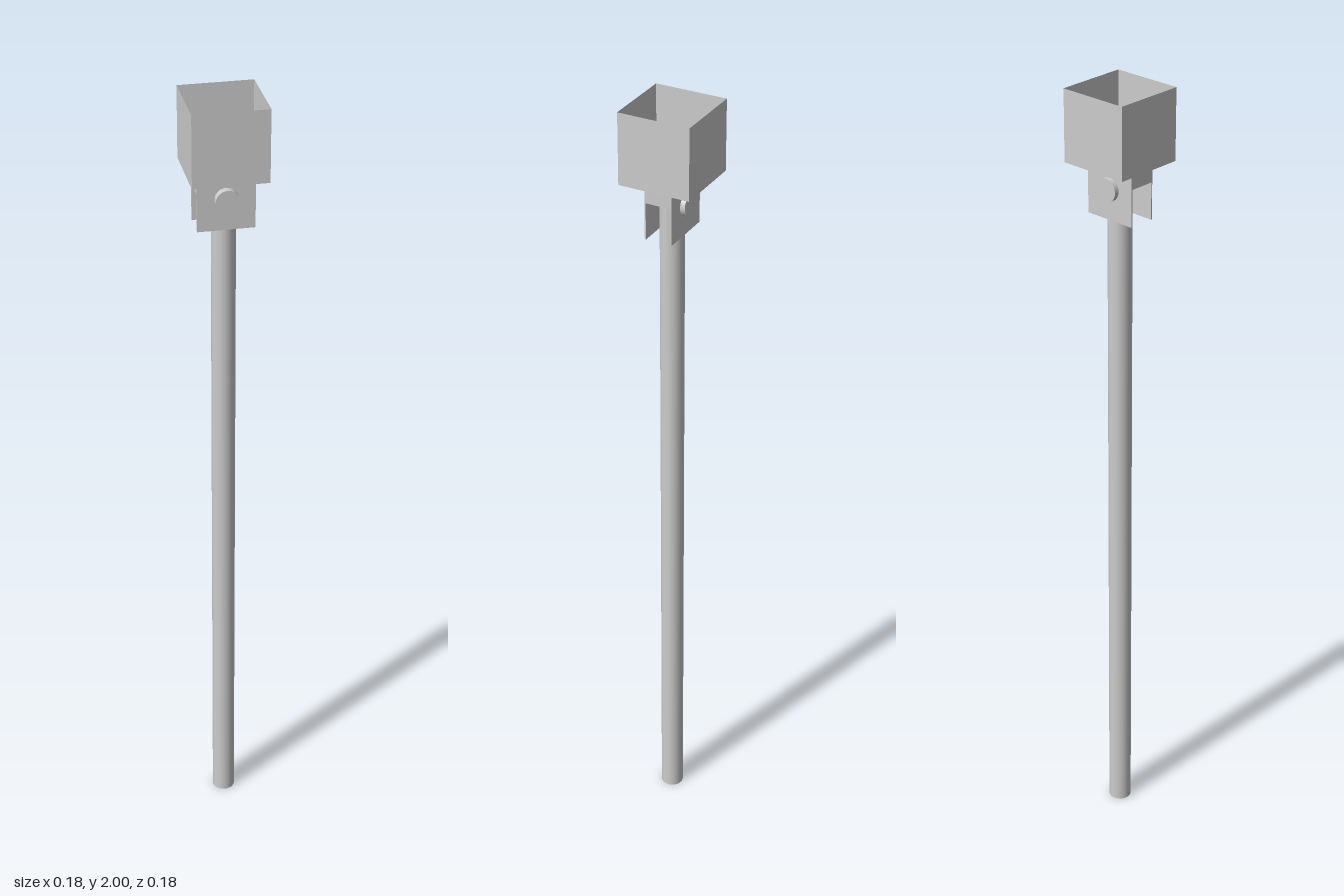
import * as THREE from 'three';

export function createModel() {
  const root = new THREE.Group();
  const grey = new THREE.MeshStandardMaterial({ color: 0xcccccc, side: THREE.DoubleSide });
  const add = (name, geometry, x, y, z) => {
    const mesh = new THREE.Mesh(geometry, grey);
    mesh.name = name;
    mesh.position.set(x, y, z);
    root.add(mesh);
    return mesh;
  };

  // Round pole
  const poleTop = 1.785;
  add('pole', new THREE.CylinderGeometry(0.029, 0.029, poleTop, 24), 0, poleTop / 2, 0);

  // Thin sheet box with an open top: leave out the six indices of the upper face
  const boxHeight = 0.174, boxFloor = 2 - boxHeight;
  const box = new THREE.BoxGeometry(0.178, boxHeight, 0.178);
  const index = Array.from(box.index.array);
  index.splice(12, 6);
  box.setIndex(index);
  box.clearGroups();
  add('openBox', box, 0, boxFloor + boxHeight / 2, 0);

  // Bracket: a block under the box with a cheek plate on each side of the pole
  add('bracketBlock', new THREE.BoxGeometry(0.136, boxFloor - poleTop, 0.066), 0, (boxFloor + poleTop) / 2, 0);
  const plateHeight = 0.132;
  for (const side of [1, -1]) {
    const label = side > 0 ? 'front' : 'back';
    add(label + 'Plate', new THREE.BoxGeometry(0.136, plateHeight, 0.003), 0, boxFloor - plateHeight / 2, side * 0.033);

    // Bolt head at the front, nut at the back
    const depth = side > 0 ? 0.017 : 0.012;
    const head = add(label + 'BoltHead', new THREE.CylinderGeometry(0.028, 0.028, depth, 24), 0, 1.77, side * (0.0345 + depth / 2));
    head.rotation.x = side * Math.PI / 2;
  }

  // Bolt shank through the pole
  const shank = add('boltShank', new THREE.CylinderGeometry(0.012, 0.012, 0.07, 16), 0, 1.77, 0);
  shank.rotation.x = Math.PI / 2;

  return root;
}
